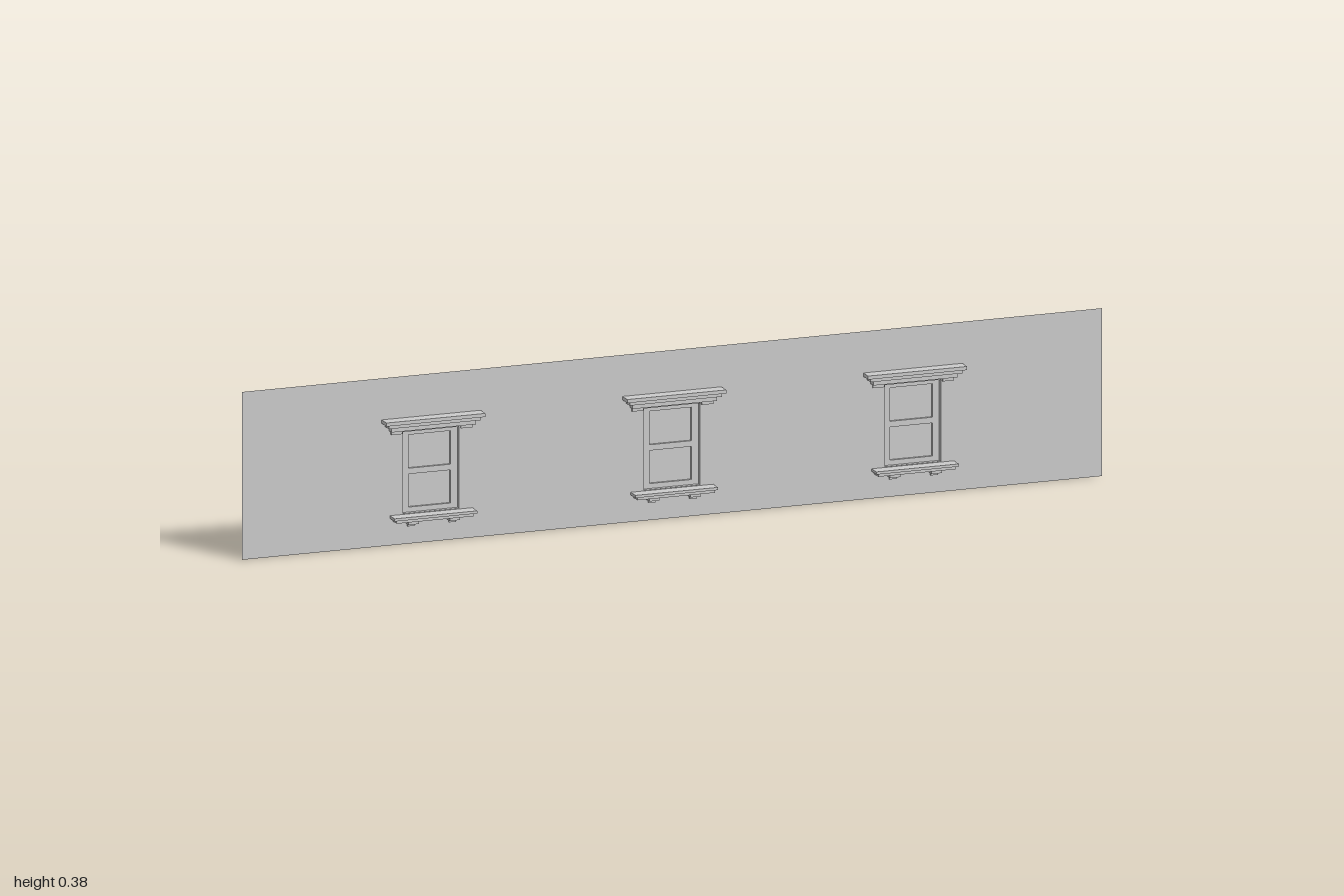
import * as THREE from 'three';

const grey = new THREE.MeshStandardMaterial({ color: 0xcccccc, side: THREE.DoubleSide, flatShading: true });
const WALL_Z = -0.005, SASH_Z = -0.016, BACK_Z = -0.0215;
const OPENING = [-0.067, 0.066, 0.067, 0.253];
const PANES = [[-0.051, 0.077, 0.051, 0.155], [-0.051, 0.164, 0.051, 0.243]];

function trace(path, [x0, y0, x1, y1]) {
  path.moveTo(x0, y0);
  path.lineTo(x1, y0);
  path.lineTo(x1, y1);
  path.lineTo(x0, y1);
  path.closePath();
  return path;
}

// Rectangle with rectangular holes
function plate(outer, holes) {
  const shape = trace(new THREE.Shape(), outer);
  for (const h of holes) shape.holes.push(trace(new THREE.Path(), h));
  return shape;
}

function add(parent, name, geometry, x = 0, y = 0, z = 0) {
  const mesh = new THREE.Mesh(geometry, grey);
  mesh.name = name;
  mesh.position.set(x, y, z);
  parent.add(mesh);
}

function slab(parent, name, x, halfWidth, y0, y1, z0, z1) {
  add(parent, name, new THREE.BoxGeometry(halfWidth * 2, y1 - y0, z1 - z0), x, (y0 + y1) / 2, (z0 + z1) / 2);
}

function extruded(parent, name, outer, holes, z0, z1) {
  const geometry = new THREE.ExtrudeGeometry(plate(outer, holes), { depth: z1 - z0, bevelEnabled: false });
  add(parent, name, geometry, 0, 0, z0);
}

const inset = ([x0, y0, x1, y1], d) => [x0 + d, y0 + d, x1 - d, y1 - d];

function createWindow() {
  const w = new THREE.Group();
  w.name = 'window';

  // Reveal behind the wall, sash frame and two recessed panes
  extruded(w, 'reveal', OPENING, [inset(OPENING, 0.002)], SASH_Z, WALL_Z);
  extruded(w, 'sashFrame', OPENING, PANES.map(p => inset(p, 0.002)), SASH_Z, SASH_Z + 0.001);
  for (const p of PANES) {
    extruded(w, 'sashRim', p, [inset(p, 0.002)], BACK_Z, SASH_Z);
    slab(w, 'pane', 0, p[2], p[1], p[3], BACK_Z, BACK_Z + 0.001);
  }

  // Stepped cornice: half width, bottom, top, front
  for (const [hw, y0, y1, z] of [
    [0.115, 0.275, 0.283, 0.024],
    [0.107, 0.267, 0.275, 0.018],
    [0.098, 0.257, 0.267, 0.011],
  ]) slab(w, 'corniceStep', 0, hw, y0, y1, WALL_Z - 0.0005, z);

  // Stepped sill
  slab(w, 'sill', 0, 0.096, 0.0605, 0.0665, WALL_Z - 0.0005, 0.024);
  slab(w, 'sillStep', 0, 0.09, 0.054, 0.0605, WALL_Z - 0.0005, 0.02);

  // Paired brackets under cornice and sill
  for (const s of [-1, 1]) {
    slab(w, 'corniceBracket', s * 0.081, 0.013, 0.248, 0.257, WALL_Z - 0.0005, 0);
    slab(w, 'sillBracket', s * 0.048, 0.012, 0.047, 0.054, WALL_Z - 0.0005, 0.014);
    slab(w, 'sillBracketFoot', s * 0.048, 0.008, 0.04, 0.047, WALL_Z - 0.0005, 0);
  }
  return w;
}

export function createModel() {
  const model = new THREE.Group();
  model.name = 'windowedWall';
  const centres = [-0.56, 0, 0.56];

  // Thin wall with three openings
  const holes = centres.map(c => [OPENING[0] + c, OPENING[1], OPENING[2] + c, OPENING[3]]);
  add(model, 'wall', new THREE.ShapeGeometry(plate([-1, 0, 1, 0.376], holes)), 0, 0, WALL_Z);

  for (const c of centres) {
    const w = createWindow();
    w.position.x = c;
    model.add(w);
  }
  return model;
}
